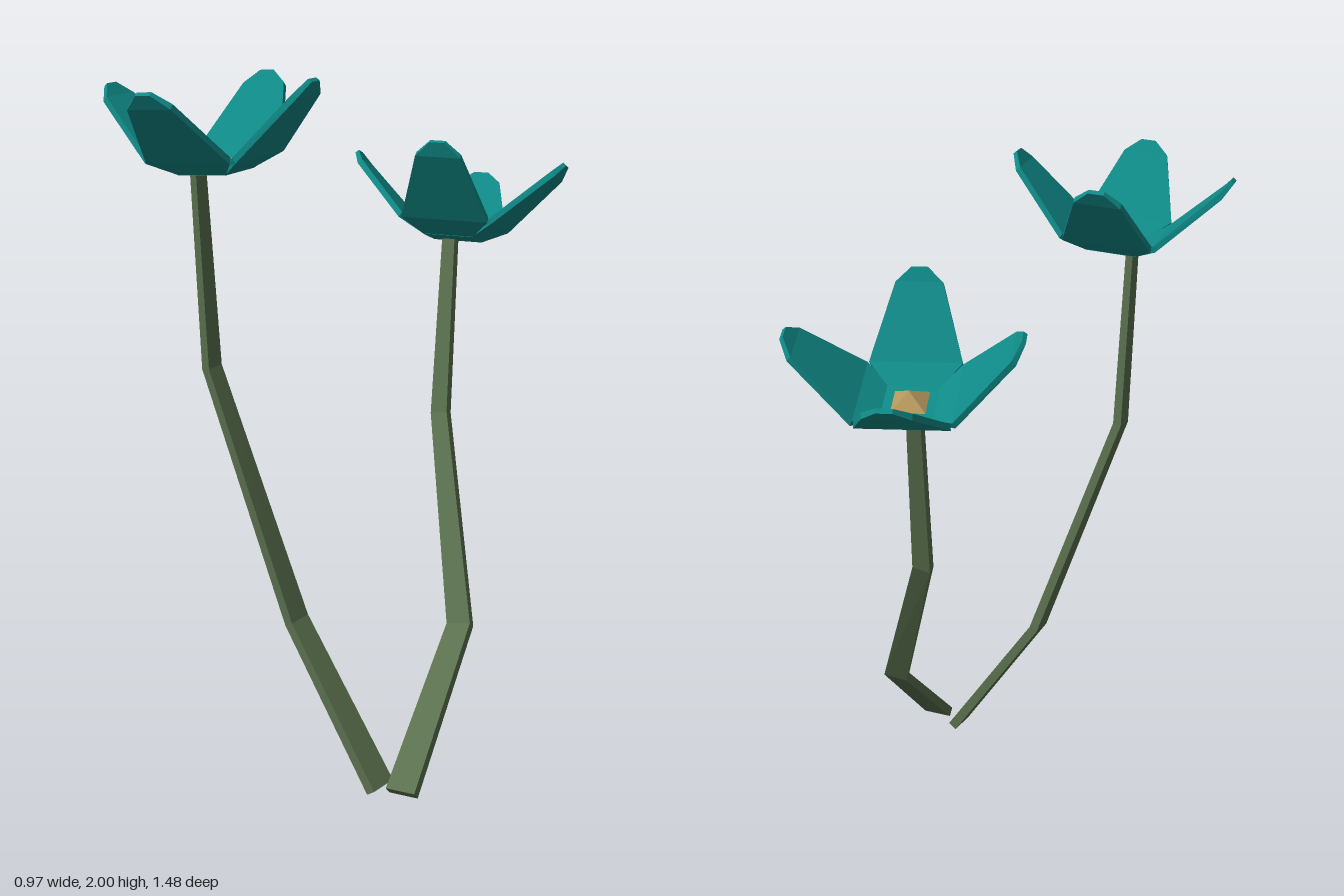
import * as THREE from 'three';

const teal = new THREE.MeshStandardMaterial({ color: 0x0f8a87, flatShading: true });
teal.name = 'petalTeal';
const green = new THREE.MeshStandardMaterial({ color: 0x5a704e, flatShading: true });
green.name = 'stemGreen';
const gold = new THREE.MeshStandardMaterial({ color: 0xb6975c, flatShading: true });
gold.name = 'centreGold';

// Closed solid through four-cornered rings, each counter-clockwise about the path
function loft(rings) {
  const pos = [];
  const quad = (a, b, c, d) => {
    for (const p of [a, b, c, a, c, d]) pos.push(p.x, p.y, p.z);
  };
  for (let i = 0; i < rings.length - 1; i++) {
    for (let j = 0; j < 4; j++) {
      const k = (j + 1) % 4;
      quad(rings[i][j], rings[i][k], rings[i + 1][k], rings[i + 1][j]);
    }
  }
  quad(...[...rings[0]].reverse());
  quad(...rings[rings.length - 1]);
  const geometry = new THREE.BufferGeometry();
  geometry.setAttribute('position', new THREE.Float32BufferAttribute(pos, 3));
  geometry.computeVertexNormals();
  return geometry;
}

// Flat bent stem; nodes are [x, y, z, width, thickness]
function makeStem(name, nodes, widthAxis) {
  const pts = nodes.map(n => new THREE.Vector3(n[0], n[1], n[2]));
  const rings = pts.map((p, i) => {
    const t = new THREE.Vector3();
    if (i > 0) t.add(p.clone().sub(pts[i - 1]).normalize());
    if (i < pts.length - 1) t.add(pts[i + 1].clone().sub(p).normalize());
    t.normalize();
    const w = widthAxis.clone().addScaledVector(t, -widthAxis.dot(t)).normalize();
    const n = t.clone().cross(w);
    return [[-1, -1], [1, -1], [1, 1], [-1, 1]].map(([a, b]) =>
      p.clone().addScaledVector(w, a * nodes[i][3] / 2).addScaledVector(n, b * nodes[i][4] / 2));
  });
  const mesh = new THREE.Mesh(loft(rings), green);
  mesh.name = name;
  return mesh;
}

// Petal rows: [distance out, height, half width, underside step out, underside step down]
const petalRows = [
  [0.073, 0.0, 0.075, 0.0, 0.02],
  [0.133, 0.035, 0.13, 0.008, 0.016],
  [0.29, 0.192, 0.066, 0.012, 0.013],
  [0.315, 0.225, 0.022, 0.01, 0.008],
];
const petalGeometry = loft(petalRows.map(([r, h, w, dr, dh]) => [
  new THREE.Vector3(-w, h - dh, r + dr),
  new THREE.Vector3(w, h - dh, r + dr),
  new THREE.Vector3(w, h, r),
  new THREE.Vector3(-w, h, r),
]));

function makeFlower(name, position, up, yaw) {
  const flower = new THREE.Group();
  flower.name = name;

  const base = new THREE.Mesh(new THREE.BoxGeometry(0.15, 0.02, 0.15), teal);
  base.name = 'flowerBase';
  base.position.y = -0.01;
  flower.add(base);

  for (let i = 0; i < 4; i++) {
    const petal = new THREE.Mesh(petalGeometry, teal);
    petal.name = 'petal';
    petal.rotation.y = i * Math.PI / 2;
    flower.add(petal);
  }

  // Four-sided golden centre
  const centre = new THREE.Mesh(new THREE.ConeGeometry(0.068, 0.04, 4), gold);
  centre.name = 'flowerCentre';
  centre.rotation.y = Math.PI / 4;
  centre.position.y = 0.02;
  flower.add(centre);

  const Y = new THREE.Vector3(0, 1, 0);
  flower.quaternion.setFromUnitVectors(Y, up.normalize())
    .multiply(new THREE.Quaternion().setFromAxisAngle(Y, yaw));
  flower.position.copy(position);
  return flower;
}

export function createModel() {
  const model = new THREE.Group();
  model.name = 'flowers';

  model.add(makeStem('tallStem', [
    [0.35, 0.009, 0.322, 0.09, 0.03],
    [0.055, 0.45, 0.335, 0.074, 0.028],
    [-0.182, 1.18, 0.413, 0.054, 0.026],
    [-0.192, 1.735, 0.44, 0.042, 0.022],
  ], new THREE.Vector3(0, 0, 1)));
  model.add(makeStem('shortStem', [
    [0.435, 0.022, 0.333, 0.09, 0.03],
    [0.355, 0.385, -0.055, 0.074, 0.028],
    [0.1, 0.935, -0.3, 0.054, 0.028],
    [0.042, 1.46, -0.42, 0.042, 0.026],
  ], new THREE.Vector3(1, 0, -0.12)));

  model.add(makeFlower('tallFlower', new THREE.Vector3(-0.155, 1.752, 0.41),
    new THREE.Vector3(-0.06, 1, 0.02), 0.2));
  model.add(makeFlower('shortFlower', new THREE.Vector3(0.073, 1.478, -0.392),
    new THREE.Vector3(-0.09, 1, -0.28), 0.385));
  return model;
}
